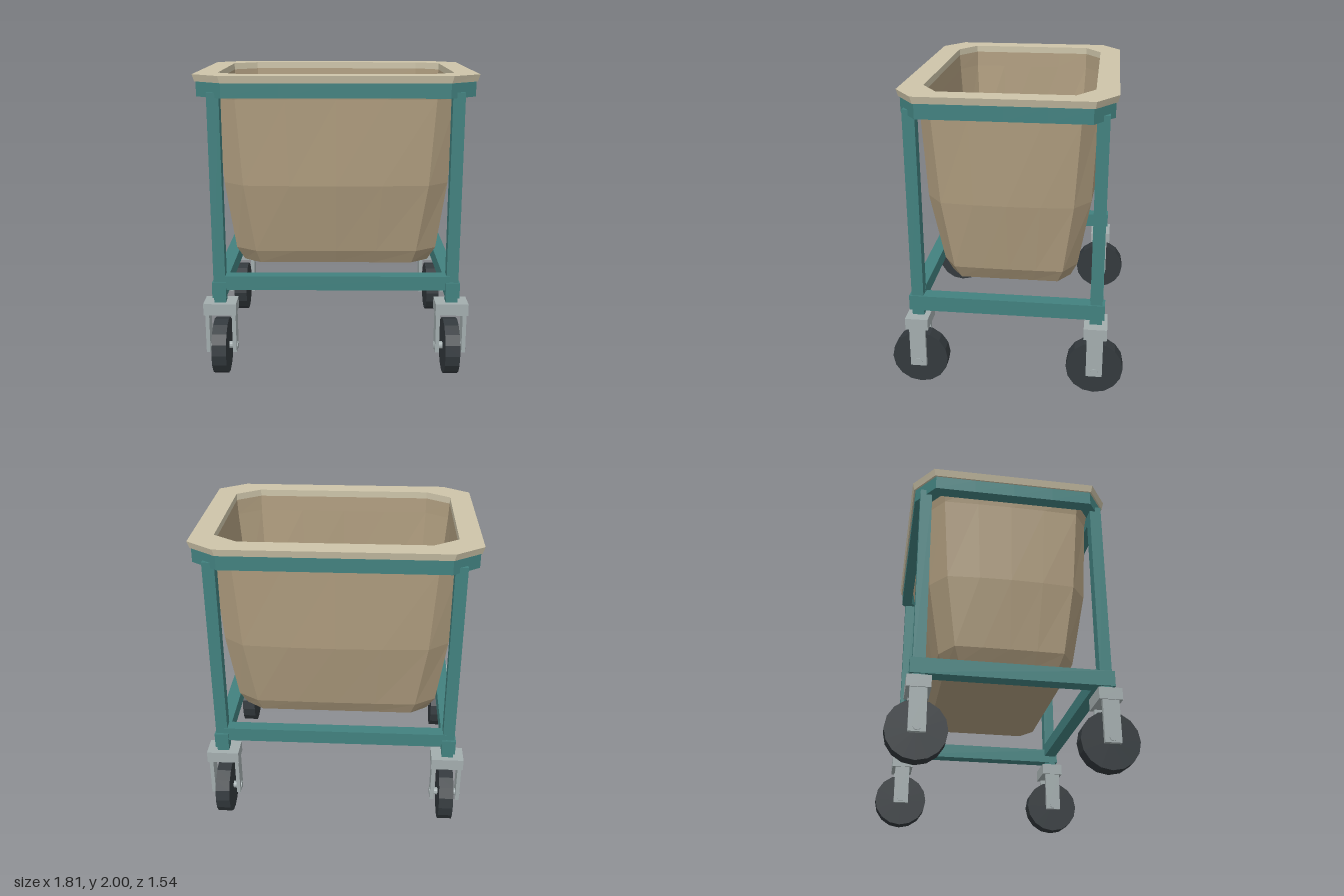
import * as THREE from 'three';

const paint = (color) => new THREE.MeshStandardMaterial({ color, flatShading: true });
const TEAL = paint(0x42817f), CANVAS = paint(0xae9c7e), RIM = paint(0xcdc4a9);
const STEEL = paint(0xa3adae), RUBBER = paint(0x33393d);

// One octagonal ring: half sizes x, z, chamfer corners cx, cz, outward bulge of the sides
function octagon([y, x, z, cx, cz, bulge = 0]) {
  const pts = [];
  const steps = [-1, -0.5, 0, 0.5, 1];
  const b = (t) => bulge * (1 - t * t);
  for (const t of steps) pts.push([x + b(t), y, cz * t]);
  for (const t of steps) pts.push([-cx * t, y, z + b(t)]);
  for (const t of steps) pts.push([-x - b(t), y, -cz * t]);
  for (const t of steps) pts.push([cx * t, y, -z - b(t)]);
  return pts;
}

// Skin through a sequence of octagonal rings
function loft(rings) {
  const n = 20;
  const index = [];
  for (let j = 0; j < rings.length - 1; j++) {
    for (let i = 0; i < n; i++) {
      const a = j * n + i, b = j * n + (i + 1) % n;
      index.push(a, a + n, b, b, a + n, b + n);
    }
  }
  const g = new THREE.BufferGeometry();
  g.setAttribute('position', new THREE.Float32BufferAttribute(rings.flatMap(octagon).flat(), 3));
  g.setIndex(index);
  const flat = g.toNonIndexed();
  flat.computeVertexNormals();
  return flat;
}

function add(parent, name, geometry, material, x = 0, y = 0, z = 0) {
  const mesh = new THREE.Mesh(geometry, material);
  mesh.name = name;
  mesh.position.set(x, y, z);
  parent.add(mesh);
  return mesh;
}

// Box given by its min and max corners
function box(parent, name, material, [x0, y0, z0], [x1, y1, z1]) {
  return add(parent, name, new THREE.BoxGeometry(x1 - x0, y1 - y0, z1 - z0), material,
    (x0 + x1) / 2, (y0 + y1) / 2, (z0 + z1) / 2);
}

// Caster centred on its own vertical axis, standing on y = 0
function makeCaster() {
  const caster = new THREE.Group();
  caster.name = 'caster';
  box(caster, 'casterPlate', STEEL, [-0.108, 0.43, -0.075], [0.108, 0.508, 0.075]);
  for (const s of [-1, 1]) {
    const c = s * 0.088;
    box(caster, 'forkArm', STEEL, [c - 0.013, 0.155, -0.053], [c + 0.013, 0.43, 0.053]);
  }
  const axle = new THREE.CylinderGeometry(0.025, 0.025, 0.215, 12).rotateZ(Math.PI / 2);
  add(caster, 'axle', axle, STEEL, 0, 0.187, 0);
  const wheel = new THREE.CylinderGeometry(0.187, 0.187, 0.096, 16).rotateZ(Math.PI / 2);
  add(caster, 'wheel', wheel, RUBBER, 0, 0.187, 0);
  return caster;
}

export function createModel() {
  const cart = new THREE.Group();
  cart.name = 'laundryCart';

  // Tub: outside from the floor up, then down the inside
  add(cart, 'tub', loft([
    [0.715, 0, 0, 0, 0],
    [0.715, 0.63, 0.40, 0.515, 0.32],
    [0.81, 0.68, 0.445, 0.54, 0.355, 0.005],
    [1.28, 0.74, 0.525, 0.605, 0.42, 0.02],
    [1.84, 0.775, 0.55, 0.64, 0.455, 0.01],
    [1.955, 0.80, 0.57, 0.65, 0.465],
    [1.955, 0.76, 0.53, 0.60, 0.42],
    [1.85, 0.755, 0.525, 0.60, 0.42],
    [1.28, 0.71, 0.49, 0.58, 0.395, 0.02],
    [0.83, 0.645, 0.41, 0.52, 0.33, 0.005],
    [0.745, 0.595, 0.36, 0.48, 0.295],
    [0.745, 0, 0, 0, 0],
  ]), CANVAS);

  // Flat rim around the opening
  add(cart, 'rim', loft([
    [1.955, 0.76, 0.53, 0.60, 0.42],
    [1.955, 0.892, 0.662, 0.715, 0.535],
    [2.0, 0.905, 0.672, 0.725, 0.542],
    [2.0, 0.76, 0.53, 0.60, 0.42],
    [1.955, 0.76, 0.53, 0.60, 0.42],
  ]), RIM);

  // Eight-sided frame band under the rim
  add(cart, 'topFrame', loft([
    [1.86, 0.805, 0.575, 0.68, 0.485],
    [1.86, 0.885, 0.652, 0.713, 0.527],
    [1.953, 0.885, 0.652, 0.713, 0.527],
    [1.953, 0.805, 0.575, 0.68, 0.485],
    [1.86, 0.805, 0.575, 0.68, 0.485],
  ]), TEAL);

  // Lower rails
  for (const s of [-1, 1]) {
    const x = s * 0.77, z = s * 0.583;
    box(cart, 'sideRail', TEAL, [x - 0.046, 0.545, -0.638], [x + 0.046, 0.648, 0.638]);
    box(cart, 'crossRail', TEAL, [-0.75, 0.595, z - 0.042], [0.75, 0.69, z + 0.042]);
  }

  // Corner posts and casters
  for (const sx of [-1, 1]) {
    for (const sz of [-1, 1]) {
      const x = sx * 0.768, z = sz * 0.583;
      box(cart, 'cornerPost', TEAL, [x - 0.039, 0.505, z - 0.039], [x + 0.039, 1.895, z + 0.039]);
      const caster = makeCaster();
      caster.position.set(x, 0, z);
      cart.add(caster);
    }
  }
  return cart;
}
